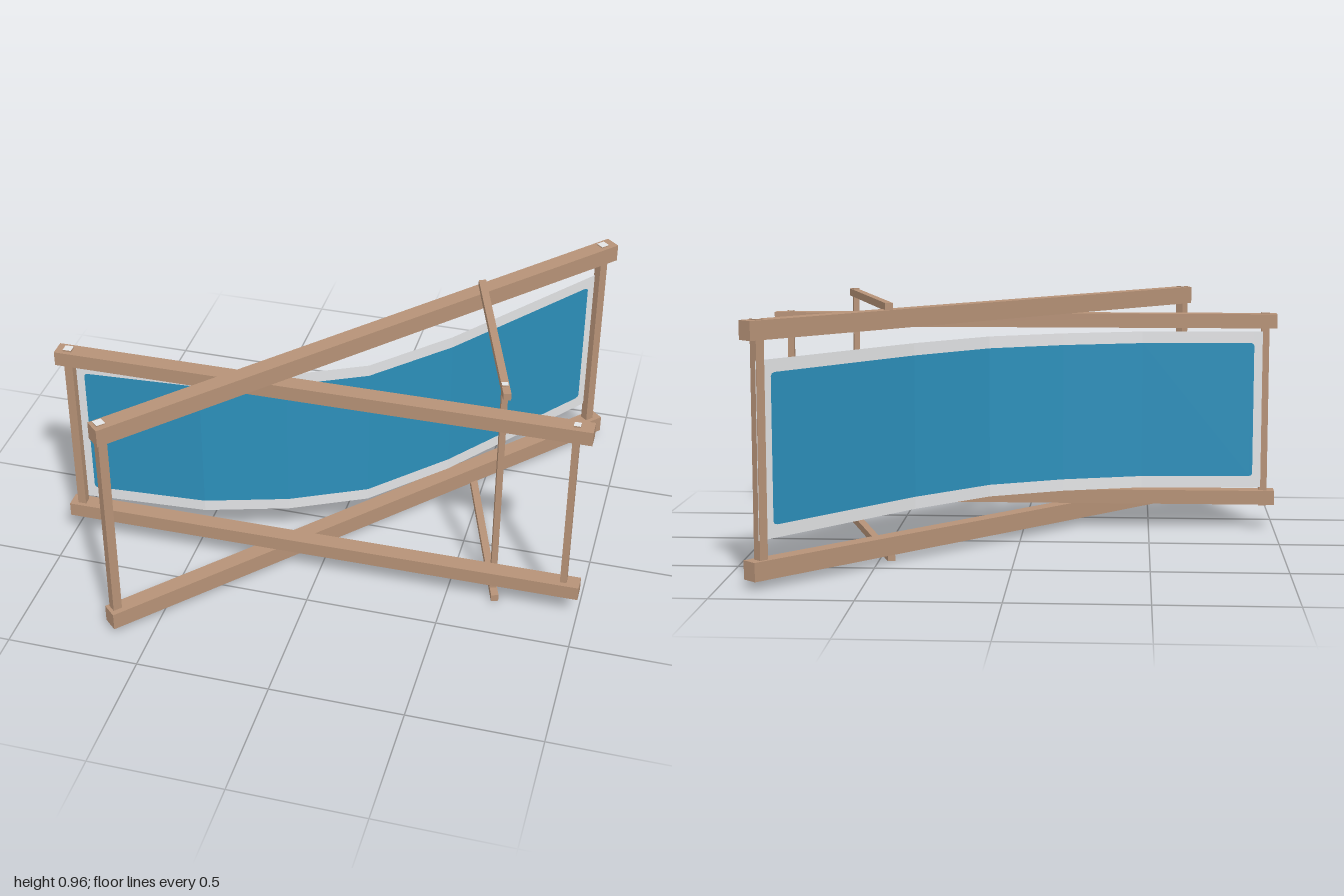
import * as THREE from 'three';

const MID = 0.481; // height of the mirror plane between the two sides

export function createModel() {
  const wood = new THREE.MeshStandardMaterial({ color: 0xb69277 });
  wood.name = 'wood';
  const hem = new THREE.MeshStandardMaterial({ color: 0xe2e3e5, side: THREE.DoubleSide, flatShading: true });
  hem.name = 'pale hem';
  const blue = new THREE.MeshStandardMaterial({ color: 0x2c8fba, side: THREE.DoubleSide, flatShading: true });
  blue.name = 'blue canvas';

  const model = new THREE.Group();
  model.name = 'foldingChair';

  // A frame is a mirrored pair of rails from a to b, joined by crossbars with pale end caps
  function addFrame(name, a, b, { width, height, offset, bars }) {
    const frame = new THREE.Group();
    frame.name = name;
    const dx = b[0] - a[0], dz = b[1] - a[1];
    const turn = -Math.atan2(dz, dx);
    for (const side of [1, -1]) {
      const rail = new THREE.Mesh(new THREE.BoxGeometry(Math.hypot(dx, dz), height, width), wood);
      rail.name = side > 0 ? 'upperRail' : 'lowerRail';
      rail.position.set((a[0] + b[0]) / 2, MID + side * offset, (a[1] + b[1]) / 2);
      rail.rotation.y = turn;
      frame.add(rail);
    }
    for (const [x, z, size, half] of bars) {
      const bar = new THREE.Mesh(new THREE.BoxGeometry(size, half * 2, size),
        [wood, wood, hem, hem, wood, wood]);
      bar.name = 'crossbar';
      bar.position.set(x, MID, z);
      bar.rotation.y = turn;
      frame.add(bar);
    }
    model.add(frame);
  }

  addFrame('seatFrame', [-1, 0.331], [1, 0.317], {
    width: 0.064, height: 0.056, offset: 0.354,
    bars: [[-0.955, 0.331, 0.032, 0.388], [0.94, 0.318, 0.025, 0.388]],
  });
  addFrame('backFrame', [-0.654, 0.855], [0.885, -0.857], {
    width: 0.063, height: 0.068, offset: 0.417,
    bars: [[-0.638, 0.828, 0.034, 0.455], [0.85, -0.821, 0.034, 0.455]],
  });
  addFrame('propFrame', [0.45, -0.4], [0.688, 0.326], {
    width: 0.028, height: 0.028, offset: 0.462,
    bars: [[0.669, 0.273, 0.023, 0.481]],
  });

  // Sling: sagging path in plan, straight between the points
  const path = [[-0.945, 0.31], [-0.47, 0.28], [-0.16, 0.185], [0.12, 0.045], [0.38, -0.226], [0.852, -0.846]];
  const zAt = (x) => {
    let i = 0;
    while (i < path.length - 2 && x > path[i + 1][0]) i++;
    const [p, q] = [path[i], path[i + 1]];
    return p[1] + (q[1] - p[1]) * (x - p[0]) / (q[0] - p[0]);
  };
  const START = -0.912, END = 0.81, R = 0.012, HALF = 0.267, EDGE = 0.313;
  // Half height of the blue panel, with rounded corners
  const panel = (x) => {
    const t = Math.max(0, R - Math.min(x - START, END - x));
    return HALF - R + Math.sqrt(Math.max(0, R * R - t * t));
  };
  const xs = [START, START + R * 0.3, START + R, ...path.slice(1, -1).map((p) => p[0]),
    END - R, END - R * 0.3, END];

  // Strip of cloth between two height rules
  function addStrip(name, stations, low, high, material) {
    const pos = [];
    for (let i = 0; i < stations.length - 1; i++) {
      const [x0, x1] = [stations[i], stations[i + 1]];
      const a = [x0, MID + low(x0), zAt(x0)], b = [x1, MID + low(x1), zAt(x1)];
      const c = [x1, MID + high(x1), zAt(x1)], d = [x0, MID + high(x0), zAt(x0)];
      pos.push(...a, ...b, ...c, ...a, ...c, ...d);
    }
    const geometry = new THREE.BufferGeometry();
    geometry.setAttribute('position', new THREE.Float32BufferAttribute(pos, 3));
    geometry.computeVertexNormals();
    const mesh = new THREE.Mesh(geometry, material);
    mesh.name = name;
    model.add(mesh);
  }
  const edge = () => EDGE, minusEdge = () => -EDGE, minusPanel = (x) => -panel(x);
  addStrip('slingPanel', xs, minusPanel, panel, blue);
  addStrip('upperHem', xs, panel, edge, hem);
  addStrip('lowerHem', xs, minusEdge, minusPanel, hem);
  addStrip('frontHem', [path[0][0], START], minusEdge, edge, hem);
  addStrip('headHem', [END, path[5][0]], minusEdge, edge, hem);

  return model;
}
